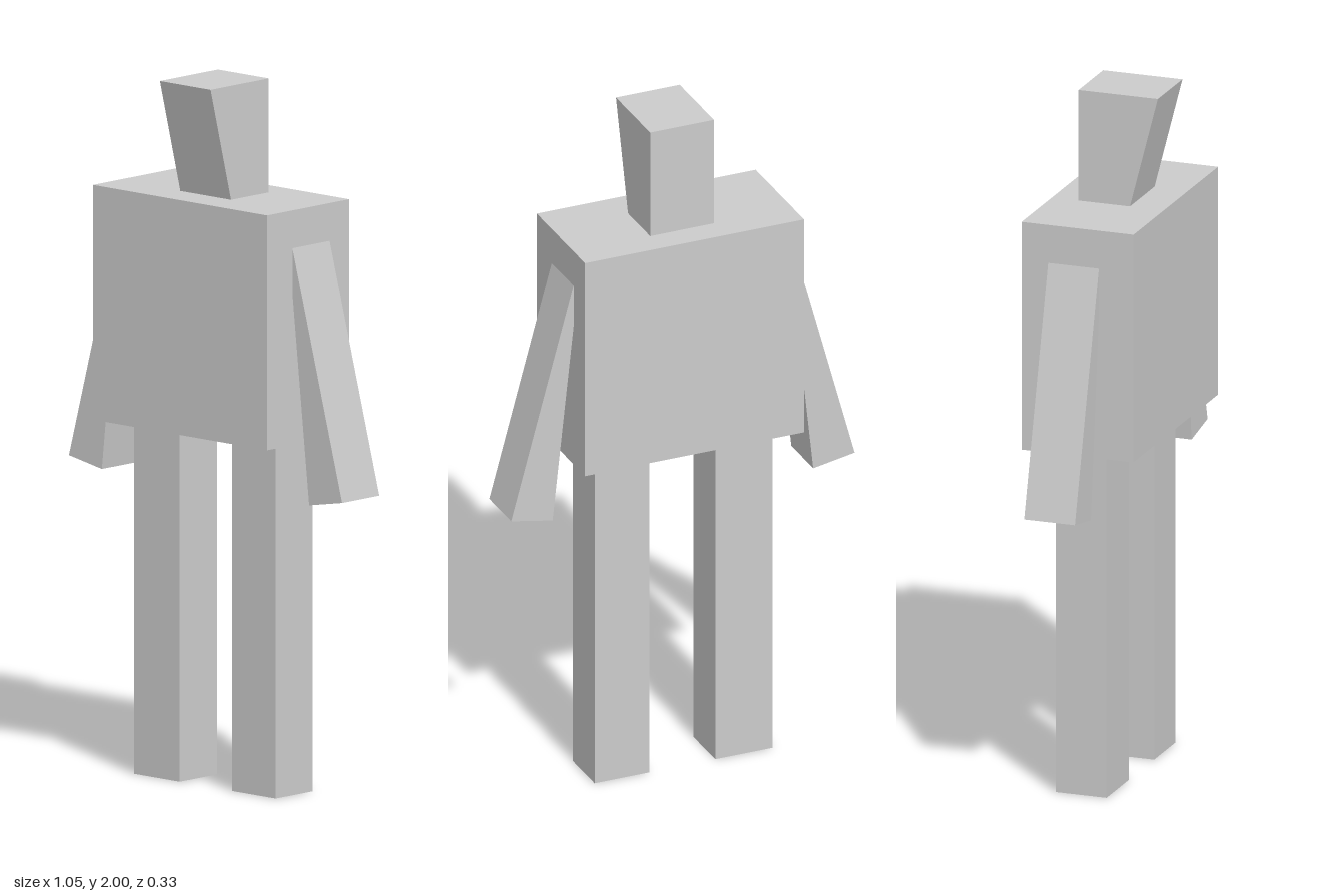
import * as THREE from 'three';

const material = new THREE.MeshStandardMaterial({ color: 0xcccccc, flatShading: true });

// Box given by its limits on each axis
function box(name, [x0, x1], [y0, y1], [z0, z1]) {
  const mesh = new THREE.Mesh(new THREE.BoxGeometry(x1 - x0, y1 - y0, z1 - z0), material);
  mesh.position.set((x0 + x1) / 2, (y0 + y1) / 2, (z0 + z1) / 2);
  mesh.name = name;
  return mesh;
}

// Flat outline pushed through a depth centred on 0
function prism(name, points, depth) {
  const shape = new THREE.Shape(points.map(([a, b]) => new THREE.Vector2(a, b)));
  const geometry = new THREE.ExtrudeGeometry(shape, { depth, bevelEnabled: false });
  geometry.translate(0, 0, -depth / 2);
  const mesh = new THREE.Mesh(geometry, material);
  mesh.name = name;
  return mesh;
}

export function createModel() {
  const group = new THREE.Group();
  group.name = 'blockFigure';

  // Torso
  group.add(box('torso', [-0.335, 0.331], [1.01, 1.677], [-0.167, 0.166]));

  // Head: side outline (z, y) whose face leans forward towards the top
  const head = prism('head', [[-0.088, 1.677], [0.065, 1.677], [0.148, 2], [-0.088, 2]], 0.194);
  head.rotation.y = -Math.PI / 2;
  head.position.x = 0.001;
  group.add(head);

  // Legs
  group.add(box('leftLeg', [0.1, 0.267], [0, 1.01], [-0.088, 0.063]));
  group.add(box('rightLeg', [-0.275, -0.1], [0, 1.01], [-0.088, 0.063]));

  // Arms: wedges that widen from the shoulder to the hand
  const armOutline = [[0.317, 1.57], [0.395, 0.848], [0.521, 0.871], [0.331, 1.57]];
  for (const side of [1, -1]) {
    const arm = prism(side > 0 ? 'leftArm' : 'rightArm', armOutline.map(([x, y]) => [side * x, y]), 0.151);
    arm.position.set(side > 0 ? 0 : -0.003, 0, -0.0125);
    group.add(arm);
  }

  return group;
}
